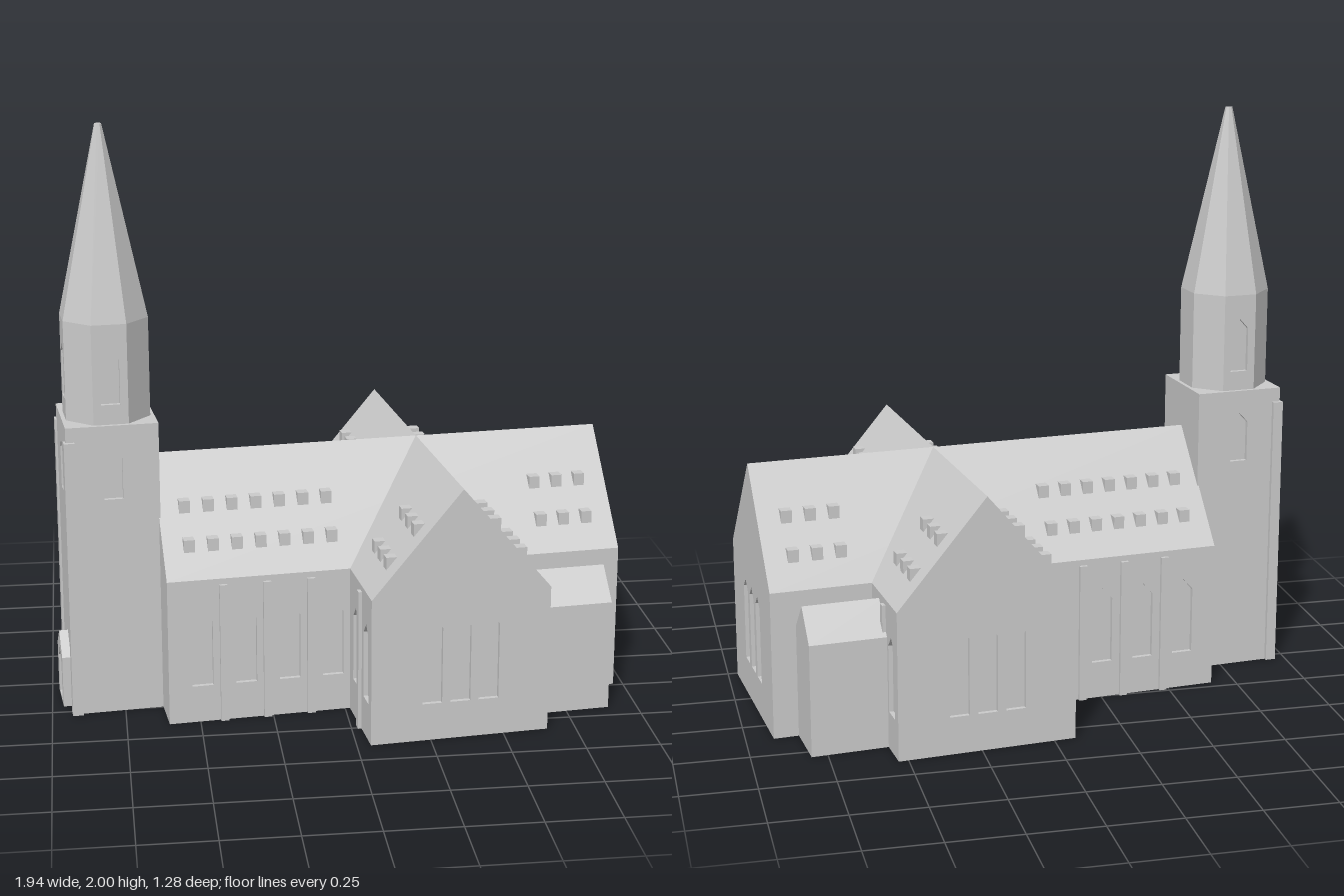
import * as THREE from 'three';

const D = 0.015; // depth of the wall skin, and so of the window recesses

export function createModel() {
  const stone = new THREE.MeshStandardMaterial({ color: 0xcbcbcb });
  stone.name = 'pale stone';

  const model = new THREE.Group();
  model.name = 'church';
  // Everything is laid out around the crossing, with the nave along x
  const church = new THREE.Group();
  church.name = 'churchBody';
  church.position.x = 0.29;
  church.rotation.y = 0.098;
  model.add(church);

  function add(name, geometry, x = 0, y = 0, z = 0, parent = church) {
    const mesh = new THREE.Mesh(geometry, stone);
    mesh.name = name;
    mesh.position.set(x, y, z);
    parent.add(mesh);
    return mesh;
  }

  // Box given by its limits
  function block(name, x0, x1, y0, y1, z0, z1) {
    return add(name, new THREE.BoxGeometry(x1 - x0, y1 - y0, z1 - z0),
      (x0 + x1) / 2, (y0 + y1) / 2, (z0 + z1) / 2);
  }

  const outline = pts => pts.map(p => new THREE.Vector2(p[0], p[1]));
  const pointed = (c, w, y0, shoulder, peak) => outline([
    [c - w / 2, y0], [c + w / 2, y0], [c + w / 2, shoulder], [c, peak], [c - w / 2, shoulder]]);

  function extrude(points, holes, depth) {
    const shape = new THREE.Shape(points);
    shape.holes = holes.map(h => new THREE.Path(h));
    return new THREE.ExtrudeGeometry(shape, { depth, bevelEnabled: false });
  }

  // Wall skin pierced by pointed windows, turned by angle about (cx, cz)
  function wall(name, cx, cz, angle, dist, x0, x1, y0, y1, windows) {
    const pivot = new THREE.Group();
    pivot.name = name;
    pivot.position.set(cx, 0, cz);
    pivot.rotation.y = angle;
    church.add(pivot);
    const geo = extrude(outline([[x0, y0], [x1, y0], [x1, y1], [x0, y1]]),
      windows.map(w => pointed(...w)), D);
    add(name + 'Panel', geo, 0, 0, dist - D, pivot);
    return pivot;
  }

  const half = 0.305, eave = 0.51, ridge = 0.87;
  const west = -0.93, east = 0.65, arm = 0.615;
  const sideWindow = c => [c, 0.072, 0.13, 0.36, 0.4];
  const gableWindows = [-0.097, 0, 0.097].map(c => [c, 0.068, 0.13, 0.395, 0.43]);
  const bays = [-0.814, -0.664, -0.514, -0.364];
  const piers = [-0.741, -0.592, -0.441];

  // Cores behind the wall skins
  block('naveCore', west, east - D, 0, eave, -half + D, half - D);
  block('transeptCore', -half + D, half - D, 0, eave, -arm + D, arm - D);

  // Gabled roofs
  const gable = outline([[-half, eave], [half, eave], [0, ridge]]);
  add('transeptRoof', extrude(gable, [], 2 * arm), 0, 0, -arm);
  add('naveRoof', extrude(gable, [], east - west), west).rotation.y = Math.PI / 2;

  // Nave and transept walls, mirrored front to back and side to side
  for (const s of [1, -1]) {
    const turn = s > 0 ? 0 : Math.PI;
    const [a, b] = s > 0 ? [west, east] : [-east, -west];
    wall('naveSideWall', 0, 0, turn, half, a, b, 0, eave, bays.map(u => sideWindow(s * u)));
    wall('transeptGableWall', 0, 0, turn, arm, -half + D, half - D, 0, eave, gableWindows);
    wall('transeptSideWall', 0, 0, s * Math.PI / 2, half, -arm, arm, 0, eave,
      [-0.54, -0.39, 0.39, 0.54].map(sideWindow));
    for (const u of piers)
      add('naveButtress', new THREE.BoxGeometry(0.027, 0.49, 0.024), u, 0.245, s * half);
    for (const v of [-0.465, 0.465])
      add('transeptButtress', new THREE.BoxGeometry(0.024, 0.49, 0.027), s * half, 0.245, v);

    // Small gabled annex in each eastern corner
    const annex = outline([[-0.095, 0], [0.095, 0], [0.095, 0.385], [0, 0.488], [-0.095, 0.385]]);
    add('annex', extrude(annex, [], 0.275), 0.29, 0, s * 0.396).rotation.y = Math.PI / 2;
  }
  wall('eastGableWall', 0, 0, Math.PI / 2, east, -half + D, half - D, 0, eave, gableWindows);

  // Dormers set into the roof slopes, in two rows
  const roofY = d => ridge - (ridge - eave) * d / half;
  const dormer = new THREE.BoxGeometry(0.037, 0.043, 0.037);
  const along = [0.39, 0.471, 0.553];
  for (let i = 0; i < 7; i++) along.push(-0.842 + i * 0.0815);
  for (const s of [1, -1])
    for (const d of [0.13, 0.222]) {
      for (const u of along) add('naveDormer', dormer, u, roofY(d), s * d);
      for (const v of [0.367, 0.448, 0.529])
        for (const t of [1, -1]) add('transeptDormer', dormer, s * d, roofY(d), t * v);
    }

  // Square tower
  const tx = -1.08, th = 0.155, towerTop = 1.02;
  block('towerCore', tx - th + D, tx + th, 0, towerTop, -th + D, th - D);
  const towerWindow = [[0, 0.064, 0.764, 0.905, 0.94]];
  wall('towerFrontWall', tx, 0, 0, th, -th, th, 0, towerTop, towerWindow);
  wall('towerBackWall', tx, 0, Math.PI, th, -th, th, 0, towerTop, towerWindow);
  const westWall = wall('towerWestWall', tx, 0, -Math.PI / 2, th, -th + D, th - D, 0, towerTop, towerWindow);
  for (const s of [1, -1])
    add('towerButtress', new THREE.BoxGeometry(0.036, 0.97, 0.036), tx - 0.144, 0.485, s * 0.15);

  // Gabled doorway on the west face
  const porch = outline([[-0.08, 0], [0.08, 0], [0.08, 0.18], [0, 0.25], [-0.08, 0.18]]);
  add('doorway', extrude(porch, [pointed(0, 0.085, 0.01, 0.145, 0.19)], 0.03), 0, 0, th, westWall);

  // Octagonal belfry and spire
  const R = 0.153, spireBase = 1.36, turn = Math.PI / 8;
  const apothem = R * Math.cos(turn), side = R * Math.sin(turn);
  const core = new THREE.CylinderGeometry(R - D * 1.08, R - D * 1.08, spireBase - towerTop, 8).toNonIndexed();
  core.rotateY(turn);
  core.computeVertexNormals();
  add('belfryCore', core, tx, (towerTop + spireBase) / 2, 0);
  for (let i = 0; i < 8; i++) {
    const open = i === 0 || i === 4 || i === 6; // front, back and west
    wall('belfryWall', tx, 0, i * Math.PI / 4, apothem, -side, side, towerTop, spireBase,
      open ? [[0, 0.063, 1.088, 1.24, 1.275]] : []);
  }
  const spire = new THREE.CylinderGeometry(0.012, R, 2 - spireBase, 8).toNonIndexed();
  spire.rotateY(turn);
  spire.computeVertexNormals();
  add('spire', spire, tx, (spireBase + 2) / 2, 0);

  return model;
}
